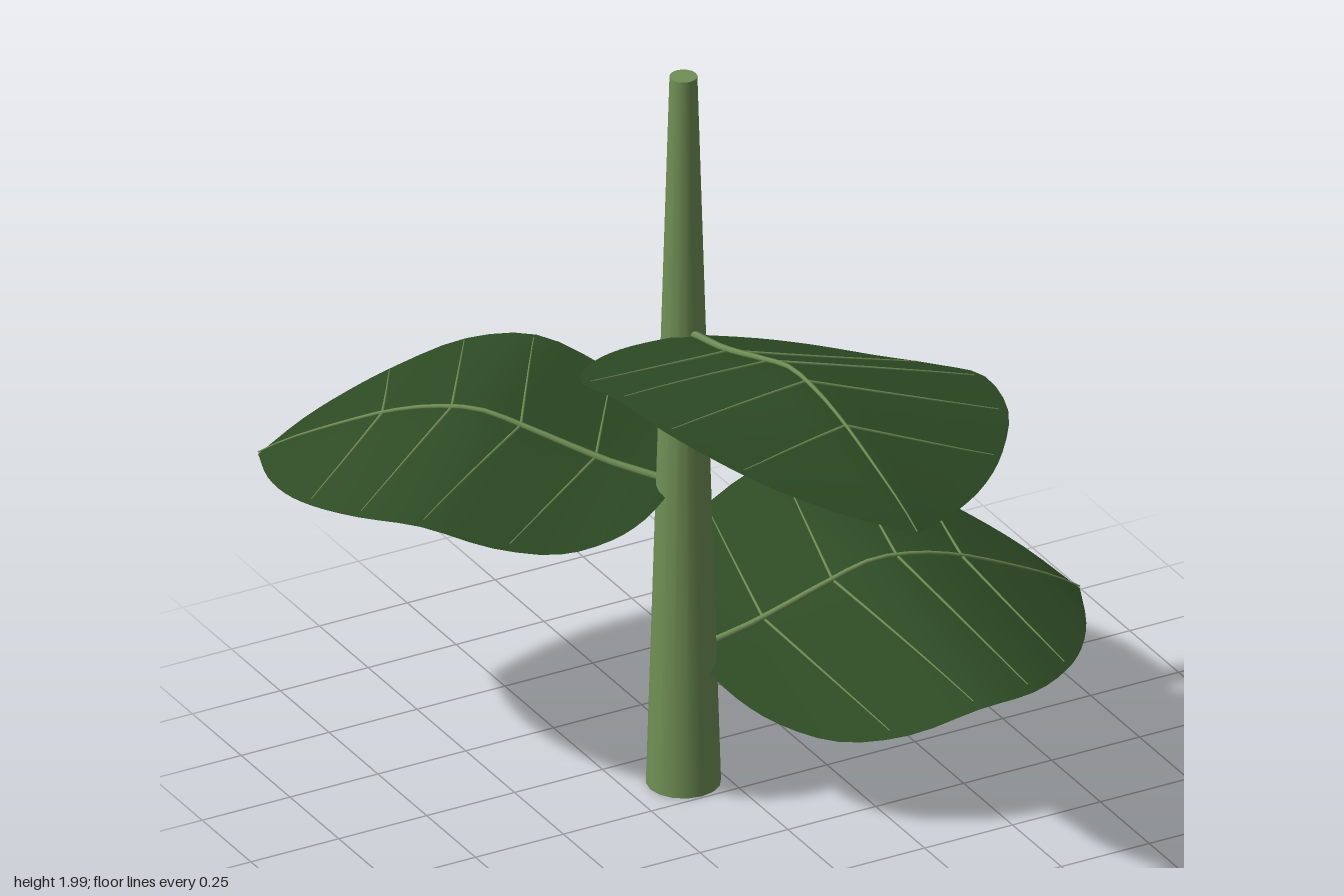
import * as THREE from 'three';

const stemGreen = new THREE.MeshStandardMaterial({ name: 'stemGreen', color: 0x708f55 });
const leafGreen = new THREE.MeshStandardMaterial({ name: 'leafGreen', color: 0x2e4c25, side: THREE.DoubleSide });

// Blade profile: distance from the stem, height of the midrib, half width
const profile = new THREE.CatmullRomCurve3([
  [0.02, 0, 0], [0.05, 0.01, 0.18], [0.1, 0.02, 0.3], [0.2, 0.04, 0.42],
  [0.35, 0.085, 0.5], [0.53, 0.135, 0.525], [0.7, 0.115, 0.49], [0.85, 0.06, 0.385],
  [0.95, 0.015, 0.28], [1.03, -0.025, 0.16], [1.1, -0.07, 0],
].map((p) => new THREE.Vector3(...p)));

// Surface point: s runs from base to tip, t from -1 to 1 across the blade
function bladePoint(s, t, roll, drift, lift = 0) {
  const { x: a, y: h, z } = profile.getPoint(s);
  const w = Math.max(0, z);
  const u = a / 1.1;
  const lat = t * w + drift * (u * u + 1.8 * t * t * u * (1 - u));
  const fold = 0.055 * Math.abs(t) * (w / 0.525);
  return new THREE.Vector3(a, h + roll * t * w - fold + lift, lat);
}

function bladeGeometry(roll, drift) {
  const rows = 30, cols = 12, pos = [], index = [];
  for (let i = 0; i <= rows; i++) {
    for (let j = 0; j <= cols; j++) {
      pos.push(...bladePoint(i / rows, (j / cols) * 2 - 1, roll, drift).toArray());
      if (i < rows && j < cols) {
        const k = i * (cols + 1) + j, n = k + cols + 1;
        index.push(k, k + 1, n, k + 1, n + 1, n);
      }
    }
  }
  const g = new THREE.BufferGeometry();
  g.setAttribute('position', new THREE.Float32BufferAttribute(pos, 3));
  g.setIndex(index);
  g.computeVertexNormals();
  return g;
}

// Tube that narrows from r0 to r1 along its path
function taperedTube(points, r0, r1) {
  const path = new THREE.CatmullRomCurve3(points);
  const n = 20, sides = 6;
  const g = new THREE.TubeGeometry(path, n, r0, sides);
  const p = g.attributes.position, v = new THREE.Vector3();
  for (let i = 0; i <= n; i++) {
    const c = path.getPointAt(i / n);
    const k = THREE.MathUtils.lerp(1, r1 / r0, i / n);
    for (let j = 0; j <= sides; j++) {
      const id = i * (sides + 1) + j;
      v.fromBufferAttribute(p, id).sub(c).multiplyScalar(k).add(c);
      p.setXYZ(id, v.x, v.y, v.z);
    }
  }
  return g;
}

function addMesh(parent, name, geometry, material) {
  const m = new THREE.Mesh(geometry, material);
  m.name = name;
  parent.add(m);
  return m;
}

function makeLeaf(name, y, yaw, roll, drift) {
  const leaf = new THREE.Group();
  leaf.name = name;
  leaf.position.y = y;
  leaf.rotation.y = yaw;
  addMesh(leaf, 'blade', bladeGeometry(roll, drift), leafGreen);

  // Midrib
  const rib = [];
  for (let i = 0; i <= 14; i++) rib.push(bladePoint(i / 14, 0, roll, drift, 0.006));
  addMesh(leaf, 'midrib', taperedTube(rib, 0.01, 0.002), stemGreen);

  // Side veins in pairs, sweeping toward the tip
  for (const s of [0.32, 0.44, 0.54, 0.65]) {
    for (const side of [-1, 1]) {
      const vein = [];
      for (let i = 0; i <= 5; i++) {
        const f = i / 5;
        vein.push(bladePoint(s + 0.06 * f, side * 0.95 * f, roll, drift, 0.003));
      }
      addMesh(leaf, 'sideVein', taperedTube(vein, 0.004, 0.0015), stemGreen);
    }
  }
  return leaf;
}

export function createModel() {
  const plant = new THREE.Group();
  plant.name = 'plant';
  plant.position.set(-0.103, 0, -0.1);

  // Tapering stem
  const stem = addMesh(plant, 'stem', new THREE.CylinderGeometry(0.035, 0.094, 1.99, 16), stemGreen);
  stem.position.y = 0.995;

  // Leaves spiralling up the stem
  plant.add(makeLeaf('lowerLeaf', 0.35, 0, -0.2, 0.05));
  plant.add(makeLeaf('middleLeaf', 0.83, Math.PI * 0.75, 0, 0));
  plant.add(makeLeaf('upperLeaf', 1.27, -Math.PI / 2, 0.2, -0.055));

  const model = new THREE.Group();
  model.name = 'leafyStem';
  model.add(plant);
  return model;
}
